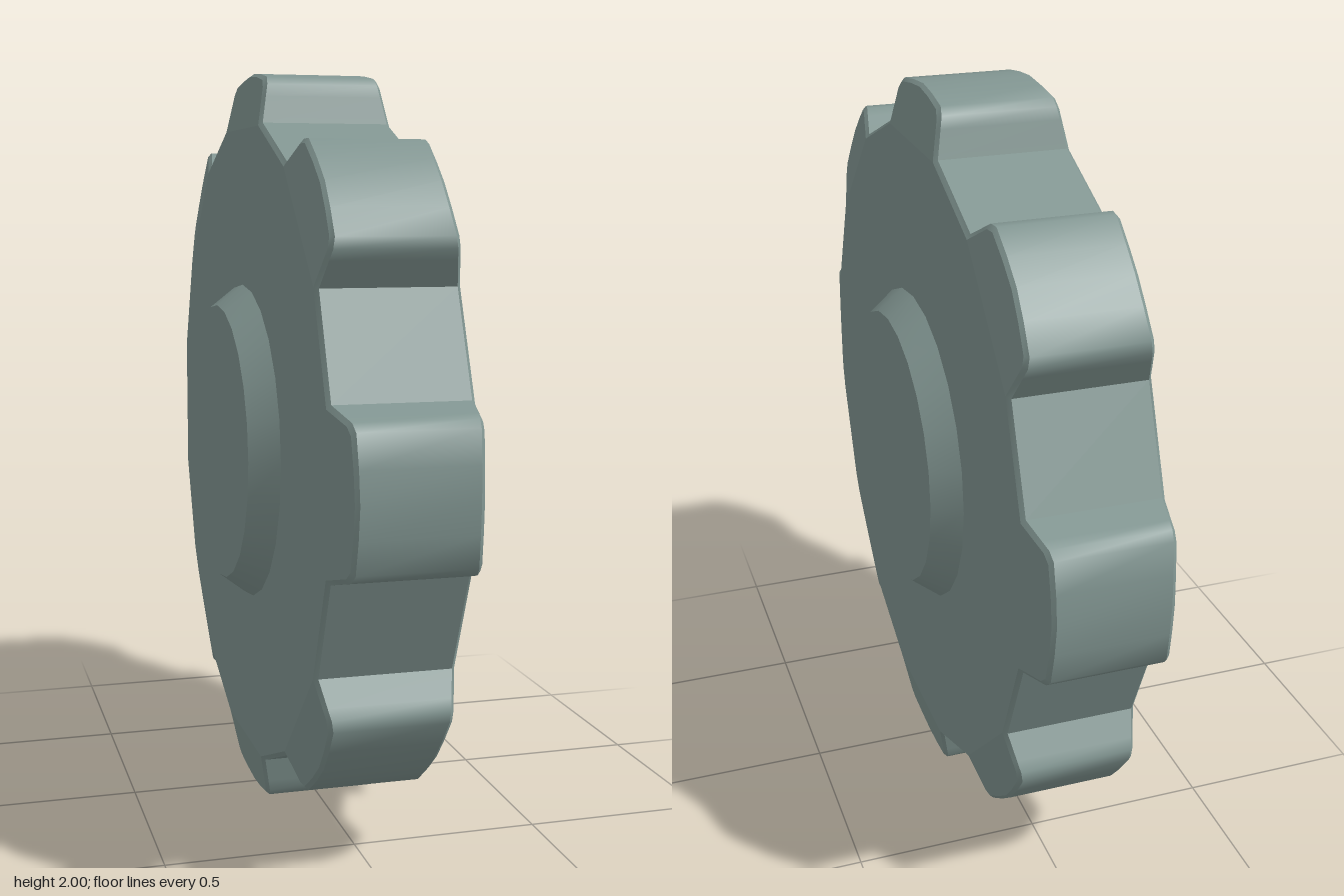
import * as THREE from 'three';
import { toCreasedNormals } from 'three/addons/utils/BufferGeometryUtils.js';

const TEETH = 8;
const BODY = 0.178; // half width of the wheel body
const ROOT = 0.86;  // height of a tooth's base chord
const BEVEL = 0.01;

// One tooth as [tangent, height], from root to root
const half = [[0.207, ROOT], [0.188, 0.93], [0.18, 0.96], [0.16, 0.98]];
const tooth = [
  ...half.map(([t, y]) => [-t, y]), [-0.08, 0.993], [0, 1], [0.08, 0.993],
  ...half.slice().reverse(),
];

// Sides of the teeth lean inward towards the tip
const halfWidth = (y) => BODY - (y - ROOT) * 0.19;

// Closed ring of points around the x axis; inset rings border the side faces
function makeRing(side, inset) {
  const ring = [];
  for (let k = 0; k < TEETH; k++) {
    const a = (k * 2 * Math.PI) / TEETH, c = Math.cos(a), s = Math.sin(a);
    for (const [t, y] of tooth) {
      const ti = inset ? t * 0.95 : t, yi = inset ? y * 0.992 : y;
      const x = side * (halfWidth(y) - (inset ? 0 : BEVEL));
      ring.push([x, yi * c - ti * s, ti * c + yi * s]);
    }
  }
  return ring;
}

function fromTriangles(tris) {
  const g = new THREE.BufferGeometry();
  g.setAttribute('position', new THREE.Float32BufferAttribute(tris.flat(2), 3));
  g.computeVertexNormals();
  return g;
}

// Outer rim: bevel, tread, bevel
function rimGeometry() {
  const rings = [makeRing(-1, true), makeRing(-1, false), makeRing(1, false), makeRing(1, true)];
  const tris = [];
  for (let r = 0; r < 3; r++) {
    const b = rings[r], a = rings[r + 1];
    for (let i = 0; i < b.length; i++) {
      const j = (i + 1) % b.length;
      tris.push([b[i], b[j], a[i]], [a[i], b[j], a[j]]);
    }
  }
  return toCreasedNormals(fromTriangles(tris), 0.65);
}

// Side face: flat disc between the roots plus a leaning plate for each tooth
function sideGeometry(side) {
  const ring = makeRing(side, true), n = tooth.length, tris = [];
  const add = (a, b, c) => tris.push(side > 0 ? [a, b, c] : [a, c, b]);
  const centre = [side * BODY, 0, 0];
  for (let k = 0; k < TEETH; k++) {
    const first = k * n, last = first + n - 1;
    add(centre, ring[first], ring[last]);
    add(centre, ring[last], ring[(last + 1) % ring.length]);
    for (let i = first + 1; i < last; i++) add(ring[first], ring[i], ring[i + 1]);
  }
  return fromTriangles(tris);
}

export function createModel() {
  const group = new THREE.Group();
  group.name = 'gearWheel';
  const metal = new THREE.MeshStandardMaterial({ color: 0x829692 });
  metal.name = 'greyGreenMetal';

  const add = (name, geometry) => {
    const mesh = new THREE.Mesh(geometry, metal);
    mesh.name = name;
    mesh.position.y = 1;
    group.add(mesh);
  };

  add('toothedRim', rimGeometry());
  add('leftFace', sideGeometry(1));
  add('rightFace', sideGeometry(-1));

  // Chamfered hub standing out on both sides
  const profile = [[0, -0.25], [0.378, -0.25], [0.433, -BODY], [0.433, BODY], [0.378, 0.25], [0, 0.25]]
    .map(([r, x]) => new THREE.Vector2(r, x));
  const hub = new THREE.LatheGeometry(profile, 24).rotateZ(Math.PI / 2);
  add('hub', toCreasedNormals(hub, 0.5));

  return group;
}
